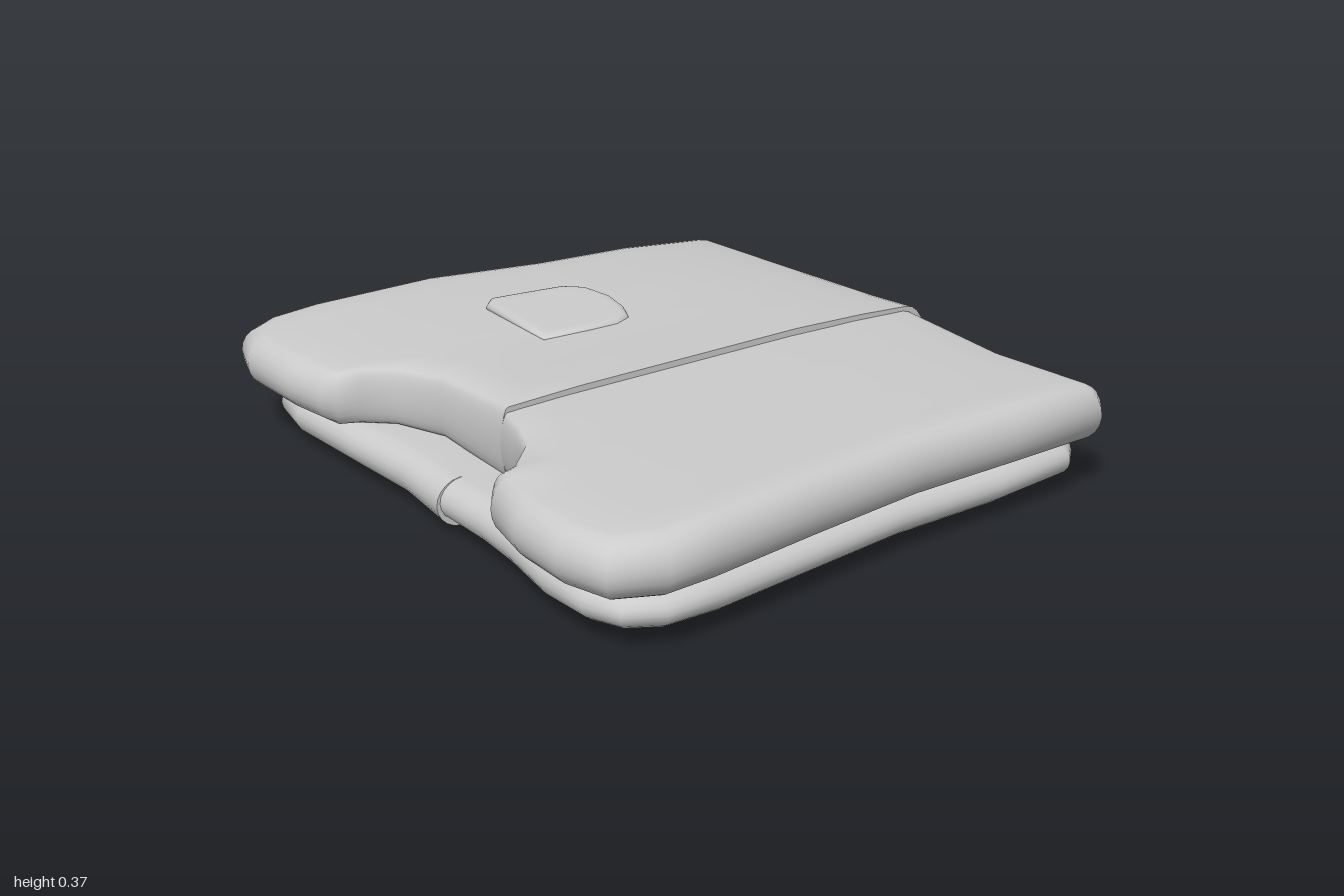
import * as THREE from 'three';
import { toCreasedNormals } from 'three/addons/utils/BufferGeometryUtils.js';

const ARC = 10; // steps round the soft edge
const SEAM = 6; // points along the flat seam
const over = (v, limit) => Math.max(0, v - limit);

// A soft slab. The outline [x, z, edge scale] runs counterclockwise seen from above.
// With a seam, the side between its last and first point is a flat cut.
function pad(name, outline, centre, round, top, bottom, seam = true) {
  const n = outline.length;
  const pts = outline.map(([x, z]) => new THREE.Vector2(x, z));
  const points = pts.map((p, j) => {
    const prev = pts[(j + n - 1) % n], next = pts[(j + 1) % n];
    const r = round * (outline[j][2] ?? 1);
    const end = seam && (j === 0 || j === n - 1);
    if (end) {
      const other = pts[j === 0 ? n - 1 : 0];
      return { p, inset: other.clone().sub(p).normalize().multiplyScalar(r) };
    }
    const a = p.clone().sub(prev).normalize(), b = next.clone().sub(p).normalize();
    const inward = new THREE.Vector2(a.y + b.y, -a.x - b.x);
    return { p, inset: inward.multiplyScalar(r / (1 + a.dot(b))) };
  });
  if (seam) {
    for (let i = 1; i < SEAM; i++) {
      points.push({ p: pts[n - 1].clone().lerp(pts[0], i / SEAM), inset: new THREE.Vector2() });
    }
  }

  // Rings from the middle of the underside, round the edge, to the middle of the top
  const rings = [];
  for (const k of [0, 0.3, 0.6, 0.85]) rings.push([-Math.PI / 2, k]);
  for (let i = 0; i <= ARC; i++) rings.push([Math.PI * (i / ARC - 0.5), 1]);
  for (const k of [0.85, 0.6, 0.3, 0]) rings.push([Math.PI / 2, k]);

  const c = new THREE.Vector2(...centre), m = points.length;
  const position = [], index = [];
  rings.forEach(([angle, k], i) => {
    points.forEach(({ p, inset }, j) => {
      const q = p.clone().addScaledVector(inset, 1 - Math.cos(angle));
      q.sub(c).multiplyScalar(k).add(c);
      const hi = top(q.x, q.y), lo = bottom(q.x, q.y);
      position.push(q.x, (hi + lo) / 2 + (hi - lo) / 2 * Math.sin(angle), q.y);
      if (i === rings.length - 1) return;
      const a = i * m + j, b = i * m + (j + 1) % m;
      if (i > 0) index.push(a, b, b + m);
      if (i === 0) index.push(a, b + m, a + m);
      else if (i < rings.length - 2) index.push(a, b + m, a + m);
    });
  });
  const geometry = new THREE.BufferGeometry();
  geometry.setAttribute('position', new THREE.Float32BufferAttribute(position, 3));
  geometry.setIndex(index);
  const mesh = new THREE.Mesh(toCreasedNormals(geometry, 1.0),
    new THREE.MeshStandardMaterial({ color: 0xcccccc }));
  mesh.name = name;
  return mesh;
}

// Heights of the upper layer's top, falling towards the sides and one back corner
const upperBackTop = (x, z) => 0.35 + 0.02 * over(1 - (0.17 - z) / 0.4, 0)
  - 0.07 * over(Math.abs(x), 0.5) - 0.06 * over(x, 0) * over(-z, 0.2);

export function createModel() {
  const model = new THREE.Group();
  model.name = 'foldedGarment';

  // Upper layer: two halves with a notch on the right side
  model.add(pad('upperBackHalf', [
    [0.895, 0.17], [0.88, 0], [0.88, -0.4], [0.88, -0.85], [0.83, -0.9], [0.5, -0.9],
    [0.17, -0.91], [-0.2, -0.98], [-0.6, -1], [-0.76, -1], [-0.86, -0.95],
    [-0.9, -0.83], [-0.89, -0.6], [-0.86, -0.46, 0.8], [-0.83, -0.415, 0.5],
    [-0.76, -0.4, 0.3], [-0.69, -0.34, 0.3], [-0.625, -0.19, 0.3], [-0.625, 0.13, 0.3],
  ], [0.1, -0.35], 0.075, upperBackTop,
  (x, z) => 0.155 - 0.015 * over(1 - (0.17 - z) / 0.4, 0) + 0.02 * over(-x, 0.3)
    - 0.06 * over(x, 0) * over(-z, 0.4)));

  model.add(pad('upperFrontHalf', [
    [-0.622, 0.11, 0.3], [-0.65, 0.22, 0.3], [-0.69, 0.32, 0.3], [-0.77, 0.395, 0.3],
    [-0.83, 0.4, 0.5], [-0.86, 0.44, 0.8], [-0.895, 0.6], [-0.895, 0.78], [-0.85, 0.93],
    [-0.71, 1], [-0.55, 1], [-0.2, 0.97], [0.17, 0.945], [0.5, 0.955], [0.83, 0.96],
    [0.88, 0.91], [0.84, 0.58], [0.88, 0.15],
  ], [0.1, 0.55], 0.075,
  (x) => 0.35 - 0.05 * over(Math.abs(x), 0.5), () => 0.165));

  // Lower layer: two slightly smaller halves
  model.add(pad('lowerBackHalf', [
    [0.85, 0.06], [0.85, -0.25], [0.85, -0.6], [0.84, -0.8], [0.78, -0.86], [0.45, -0.86],
    [0.15, -0.87], [-0.2, -0.91], [-0.55, -0.93], [-0.7, -0.92], [-0.79, -0.85],
    [-0.82, -0.7], [-0.8, -0.4], [-0.78, -0.15], [-0.795, 0.06],
  ], [0, -0.4], 0.075,
  (x, z) => 0.16 - 0.05 * over(-z, 0.4) * (1 + x),
  (x, z) => 0.015 * over(-z / 0.2 + 0.3, 0) / (1 + over(-z / 0.2 + 0.3, 0))
    + 0.07 * over(Math.abs(x), 0.5)));

  model.add(pad('lowerFrontHalf', [
    [-0.785, 0.04], [-0.78, 0.25], [-0.79, 0.4], [-0.82, 0.6], [-0.82, 0.78],
    [-0.78, 0.89], [-0.68, 0.95], [-0.5, 0.95], [0.15, 0.9], [0.5, 0.91], [0.77, 0.91],
    [0.84, 0.85], [0.8, 0.55], [0.835, 0.04],
  ], [0, 0.5], 0.075, () => 0.16,
  (x, z) => 0.02 + 0.07 * over(z, 0.6) + 0.05 * over(Math.abs(x), 0.5)));

  // Small raised patch on the top
  model.add(pad('patch', [
    [-0.23, -0.25], [-0.08, -0.235], [0.02, -0.23], [0.08, -0.255], [0.115, -0.33],
    [0.13, -0.42], [0.11, -0.52], [0.05, -0.57], [-0.08, -0.59], [-0.19, -0.605],
    [-0.225, -0.57],
  ], [-0.05, -0.41], 0.03,
  (x, z) => 0.362 + 0.04 * over(-z, 0.25), () => 0.335, false));

  return model;
}
